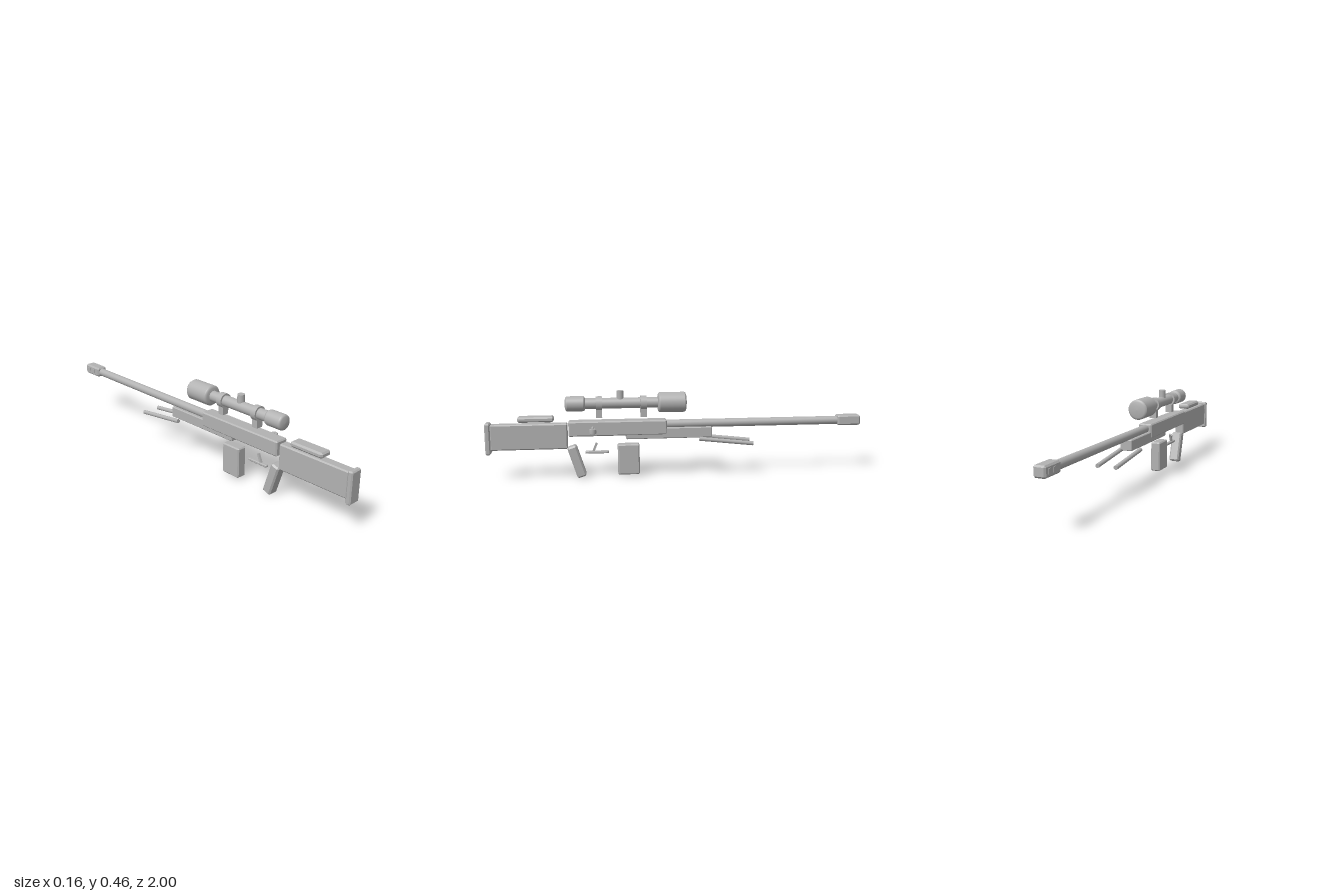
import * as THREE from 'three';
import { ConvexGeometry } from 'three/addons/geometries/ConvexGeometry.js';

const CX = -0.0235; // centre line of the body

export function createModel() {
  const model = new THREE.Group();
  const grey = new THREE.MeshStandardMaterial({ color: 0xb2b2b2 });
  grey.name = 'plain grey';

  function add(name, geometry, x, y, z) {
    const mesh = new THREE.Mesh(geometry, grey);
    mesh.name = name;
    mesh.position.set(x, y, z);
    model.add(mesh);
    return mesh;
  }

  // Box with chamfered edges and corners
  function chamferBox(w, h, d, c) {
    const points = [];
    for (const sx of [-1, 1]) for (const sy of [-1, 1]) for (const sz of [-1, 1]) {
      for (let axis = 0; axis < 3; axis++) {
        const inset = [c, c, c];
        inset[axis] = 0;
        points.push(new THREE.Vector3(
          sx * (w / 2 - inset[0]), sy * (h / 2 - inset[1]), sz * (d / 2 - inset[2])));
      }
    }
    return new ConvexGeometry(points);
  }

  // Chamfered box given by its y and z limits, on the centre line
  function block(name, w, y0, y1, z0, z1, c = 0.006) {
    return add(name, chamferBox(w, y1 - y0, z1 - z0, c), CX, (y0 + y1) / 2, (z0 + z1) / 2);
  }

  // Cylinder lying along z
  function rod(name, r, y, z0, z1) {
    const mesh = add(name, new THREE.CylinderGeometry(r, r, z1 - z0, 32), CX, y, (z0 + z1) / 2);
    mesh.rotation.x = Math.PI / 2;
    return mesh;
  }

  // Cylinder between two points
  function strut(name, r, from, to) {
    const a = new THREE.Vector3(...from), b = new THREE.Vector3(...to);
    const dir = b.clone().sub(a);
    const mesh = add(name, new THREE.CylinderGeometry(r, r, dir.length(), 20), 0, 0, 0);
    mesh.position.copy(a).add(b).multiplyScalar(0.5);
    mesh.quaternion.setFromUnitVectors(new THREE.Vector3(0, 1, 0), dir.normalize());
    return mesh;
  }

  // Scope bell: straight wall with softly domed, bevelled ends
  function bell(name, r, y, z0, z1) {
    const h = (z1 - z0) / 2;
    const profile = [
      [0, -h], [r * 0.4, -h + 0.001], [r * 0.78, -h + 0.004], [r * 0.93, -h + 0.007], [r, -h + 0.013],
      [r, -h + 0.013], [r, h - 0.013],
      [r, h - 0.013], [r * 0.93, h - 0.007], [r * 0.78, h - 0.004], [r * 0.4, h - 0.001], [0, h],
    ].map(([px, py]) => new THREE.Vector2(px, py));
    const mesh = add(name, new THREE.LatheGeometry(profile, 40), CX, y, (z0 + z1) / 2);
    mesh.rotation.x = Math.PI / 2;
  }

  // Stock
  block('buttPad', 0.067, 0.147, 0.31, 0.973, 1.0);
  block('stock', 0.052, 0.168, 0.302, 0.58, 0.975);
  block('cheekRest', 0.066, 0.312, 0.34, 0.649, 0.834, 0.008);

  // Body
  block('receiver', 0.074, 0.234, 0.312, 0.062, 0.575);
  block('foreEnd', 0.066, 0.213, 0.27, -0.18, 0.276, 0.004);
  block('magazine', 0.054, 0.021, 0.184, 0.206, 0.32);
  const grip = add('pistolGrip', chamferBox(0.058, 0.172, 0.05, 0.008), CX, 0.097, 0.535);
  grip.rotation.x = 0.31;

  // Trigger
  block('triggerGuard', 0.018, 0.136, 0.15, 0.367, 0.49, 0.003);
  const trigger = add('trigger', new THREE.BoxGeometry(0.012, 0.052, 0.011), CX, 0.168, 0.44);
  trigger.rotation.x = -0.4;

  // Barrel and muzzle brake with side vents
  rod('barrel', 0.022, 0.286, -0.9, 0.08);
  block('muzzleBrake', 0.06, 0.26, 0.315, -1.0, -0.873, 0.008);
  for (const side of [-1, 1]) {
    for (const z of [-0.965, -0.925]) {
      add('brakeVent', new THREE.BoxGeometry(0.004, 0.024, 0.022), CX + side * 0.031, 0.288, z);
    }
  }

  // Bolt handle on the left side
  strut('boltHandle', 0.007, [0.0, 0.28, 0.45], [0.065, 0.28, 0.45]);
  const knob = [[0, -0.012], [0.017, -0.012], [0.017, -0.012], [0.018, -0.01],
    [0.018, 0.01], [0.017, 0.012], [0.017, 0.012], [0, 0.012]]
    .map(([x, y]) => new THREE.Vector2(x, y));
  add('boltKnob', new THREE.LatheGeometry(knob, 28), 0.063, 0.27, 0.45);

  // Telescopic sight
  const sightY = 0.402;
  rod('sightTube', 0.028, sightY, 0.08, 0.5);
  bell('eyepiece', 0.0395, sightY, 0.483, 0.592);
  bell('objectiveBell', 0.053, sightY, -0.046, 0.11);
  for (const z of [0.415, 0.182]) {
    rod('sightRing', 0.037, sightY, z - 0.016, z + 0.016);
    add('sightMount', new THREE.BoxGeometry(0.038, 0.055, 0.032), CX, 0.356, z);
  }
  add('adjustmentTurret', new THREE.CylinderGeometry(0.019, 0.019, 0.05, 28), CX, 0.442, 0.304);

  // Folded bipod legs
  for (const side of [-1, 1]) {
    const x = CX + side * 0.049;
    strut('bipodLeg', 0.011, [x, 0.21, -0.11], [x, 0.178, -0.4]);
  }

  return model;
}
